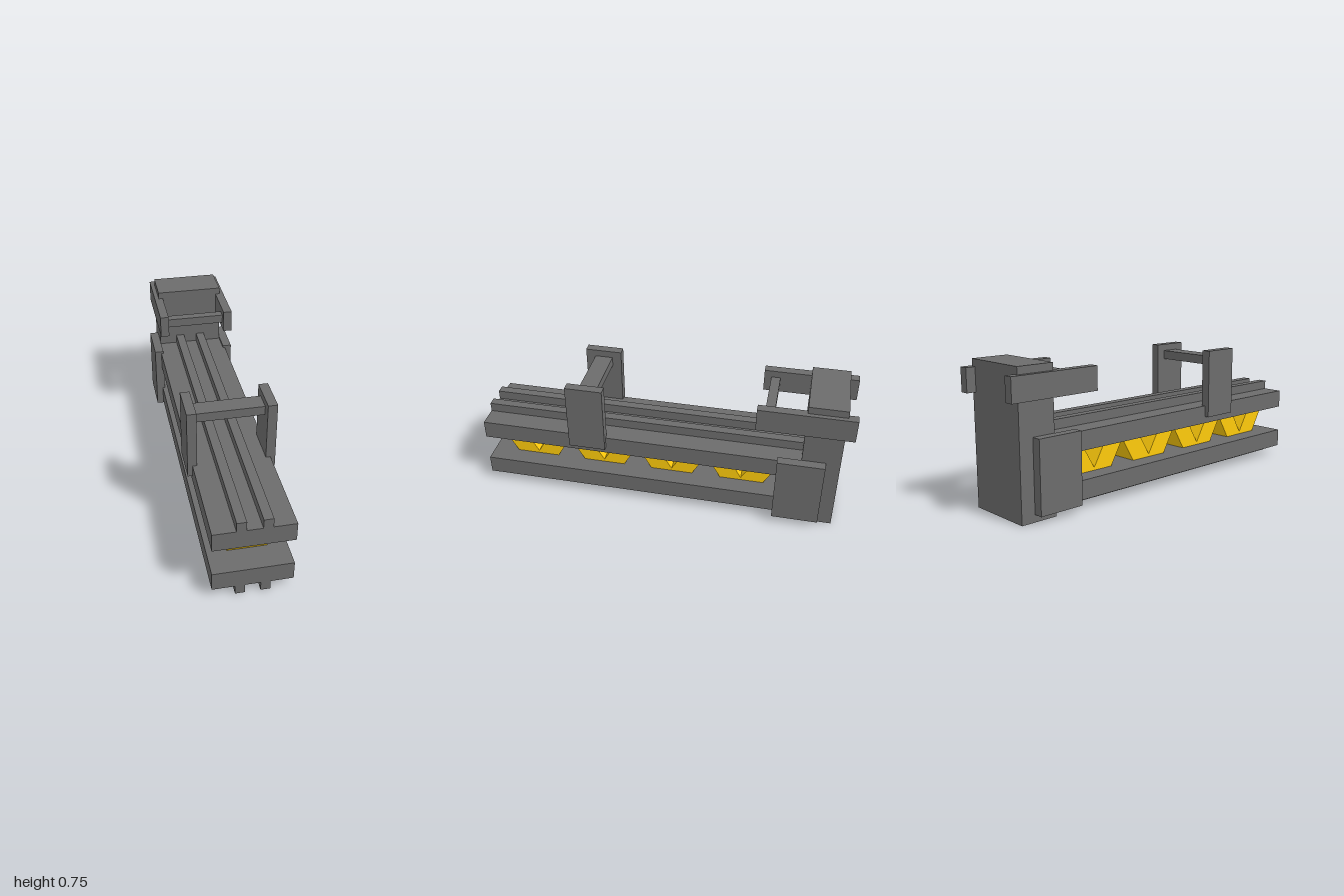
import * as THREE from 'three';

const darkGrey = new THREE.MeshStandardMaterial({ color: 0x6c6c6c, flatShading: true });
const yellow = new THREE.MeshStandardMaterial({ color: 0xfecb0c, flatShading: true });

// Box given by its [min, max] range on each axis
function block(parent, name, [x0, x1], [y0, y1], [z0, z1]) {
  const mesh = new THREE.Mesh(new THREE.BoxGeometry(x1 - x0, y1 - y0, z1 - z0), darkGrey);
  mesh.position.set((x0 + x1) / 2, (y0 + y1) / 2, (z0 + z1) / 2);
  mesh.name = name;
  parent.add(mesh);
}

// Same box on the left (+x) and right (-x) sides
function pair(parent, name, [x0, x1], y, z) {
  block(parent, name + 'Left', [x0, x1], y, z);
  block(parent, name + 'Right', [-x1, -x0], y, z);
}

// Zigzag lattice: side profile drawn in (z, y), extruded across x
function lattice() {
  const bottom = 0.15, top = 0.3, pitch = 0.39, notch = 0.079;
  const shape = new THREE.Shape();
  shape.moveTo(0.86, bottom);
  shape.lineTo(0.947, top);
  for (let k = 0; k < 4; k++) {
    const z = 0.735 - k * pitch;
    shape.lineTo(z + notch, top);
    shape.lineTo(z, 0.165);
    shape.lineTo(z - notch, top);
  }
  shape.lineTo(-0.647, top);
  shape.lineTo(-0.56, bottom);
  for (let k = 2; k >= 0; k--) {
    const z = 0.54 - k * pitch;
    shape.lineTo(z - notch, bottom);
    shape.lineTo(z, 0.285);
    shape.lineTo(z + notch, bottom);
  }
  shape.closePath();
  const geometry = new THREE.ExtrudeGeometry(shape, { depth: 0.2, bevelEnabled: false });
  geometry.translate(0, 0, -0.1).rotateY(-Math.PI / 2);
  const mesh = new THREE.Mesh(geometry, yellow);
  mesh.name = 'zigzagLattice';
  return mesh;
}

export function createModel() {
  const model = new THREE.Group();
  model.name = 'railFrame';

  // Two long beams, each with a pair of rails on its outer face
  const length = [-0.75, 1];
  block(model, 'lowerBeam', [-0.2, 0.2], [0.05, 0.15], length);
  block(model, 'upperBeam', [-0.2, 0.2], [0.3, 0.4], length);
  pair(model, 'lowerRail', [0.0385, 0.0865], [0, 0.05], length);
  pair(model, 'upperRail', [0.0385, 0.0865], [0.4, 0.45], length);
  model.add(lattice());

  // Rear column with side plates joining it to the beams
  block(model, 'rearColumn', [-0.1875, 0.1875], [0, 0.75], [-0.95, -0.75]);
  pair(model, 'sidePlate', [0.1875, 0.2375], [0.0385, 0.413], [-0.875, -0.627]);

  // Front handle: two uprights and a crossbar
  pair(model, 'frontUpright', [0.176, 0.225], [0.338, 0.712], [0.3, 0.5]);
  block(model, 'frontCrossbar', [-0.18, 0.18], [0.626, 0.675], [0.35, 0.447]);

  // Rear handle: two arms and a crossbar
  pair(model, 'rearArm', [0.163, 0.2115], [0.588, 0.712], [-1, -0.5]);
  block(model, 'rearCrossbar', [-0.17, 0.17], [0.626, 0.675], [-0.587, -0.538]);

  return model;
}
